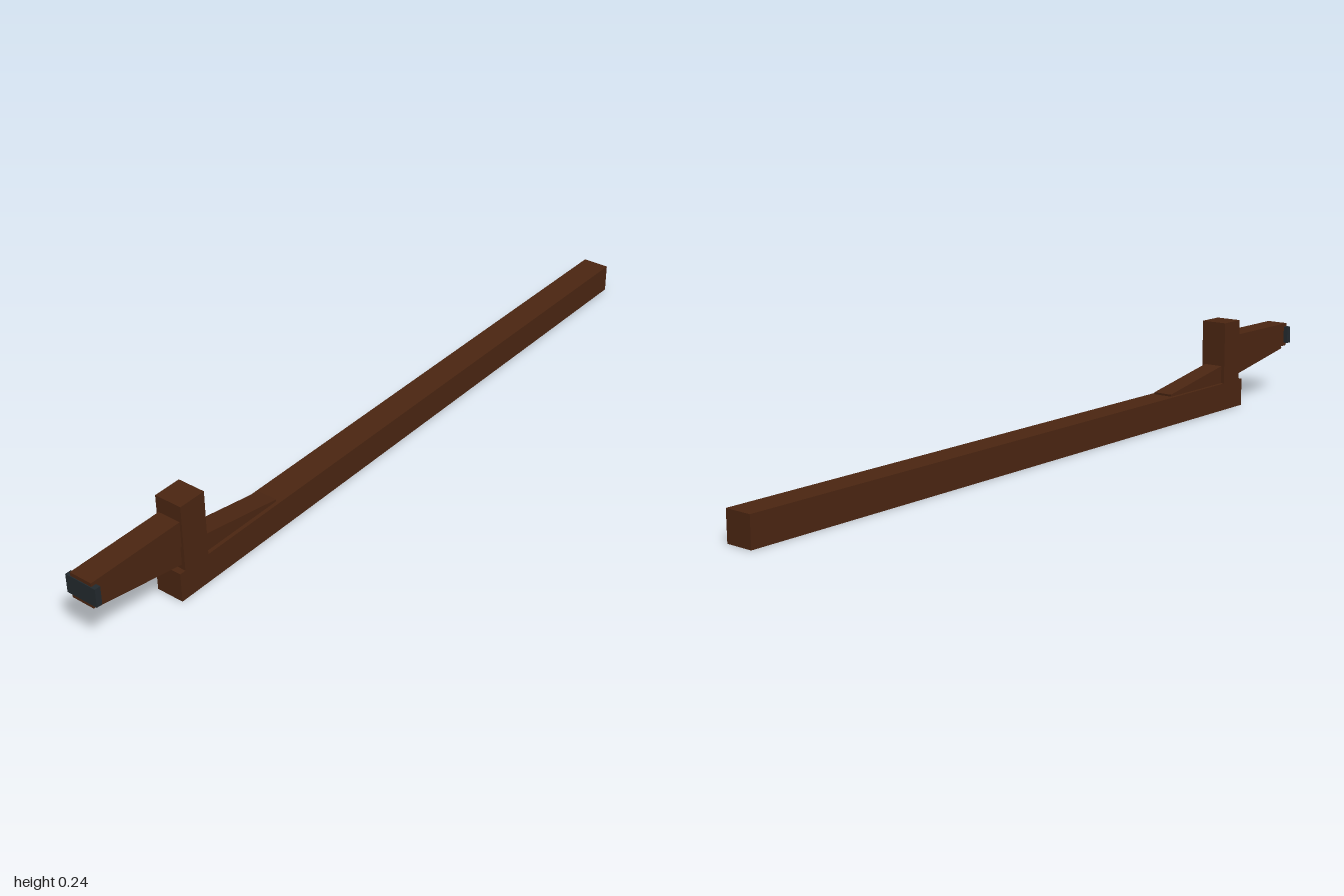
import * as THREE from 'three';

export function createModel() {
  const model = new THREE.Group();
  const wood = new THREE.MeshStandardMaterial({ color: 0x4a2511 });
  wood.name = 'darkWood';
  const iron = new THREE.MeshStandardMaterial({ color: 0x22292d });
  iron.name = 'darkIron';

  // Box given by its x range, y range and depth, centred on z = 0
  function bar(name, [x0, x1], [y0, y1], depth, material) {
    const mesh = new THREE.Mesh(new THREE.BoxGeometry(x1 - x0, y1 - y0, depth), material);
    mesh.position.set((x0 + x1) / 2, (y0 + y1) / 2, 0);
    mesh.name = name;
    model.add(mesh);
    return mesh;
  }

  // Long beam with an upright post near its end
  bar('longBeam', [-0.759, 1], [0, 0.074], 0.072, wood);
  bar('post', [-0.743, -0.671], [0.07, 0.24], 0.072, wood);

  // Short arm reaching out from the post, with an iron plate at its tip
  bar('arm', [-0.998, -0.7], [0.135, 0.199], 0.06, wood);
  bar('tipPlate', [-1, -0.985], [0.144, 0.19], 0.084, iron);

  // Slanted brace passing through the post from the arm to the beam
  const brace = bar('brace', [-0.98, -0.435], [0.08, 0.127], 0.053, wood);
  brace.position.set(-0.7076, 0.1036, 0);
  brace.rotation.z = -THREE.MathUtils.degToRad(10);

  return model;
}
